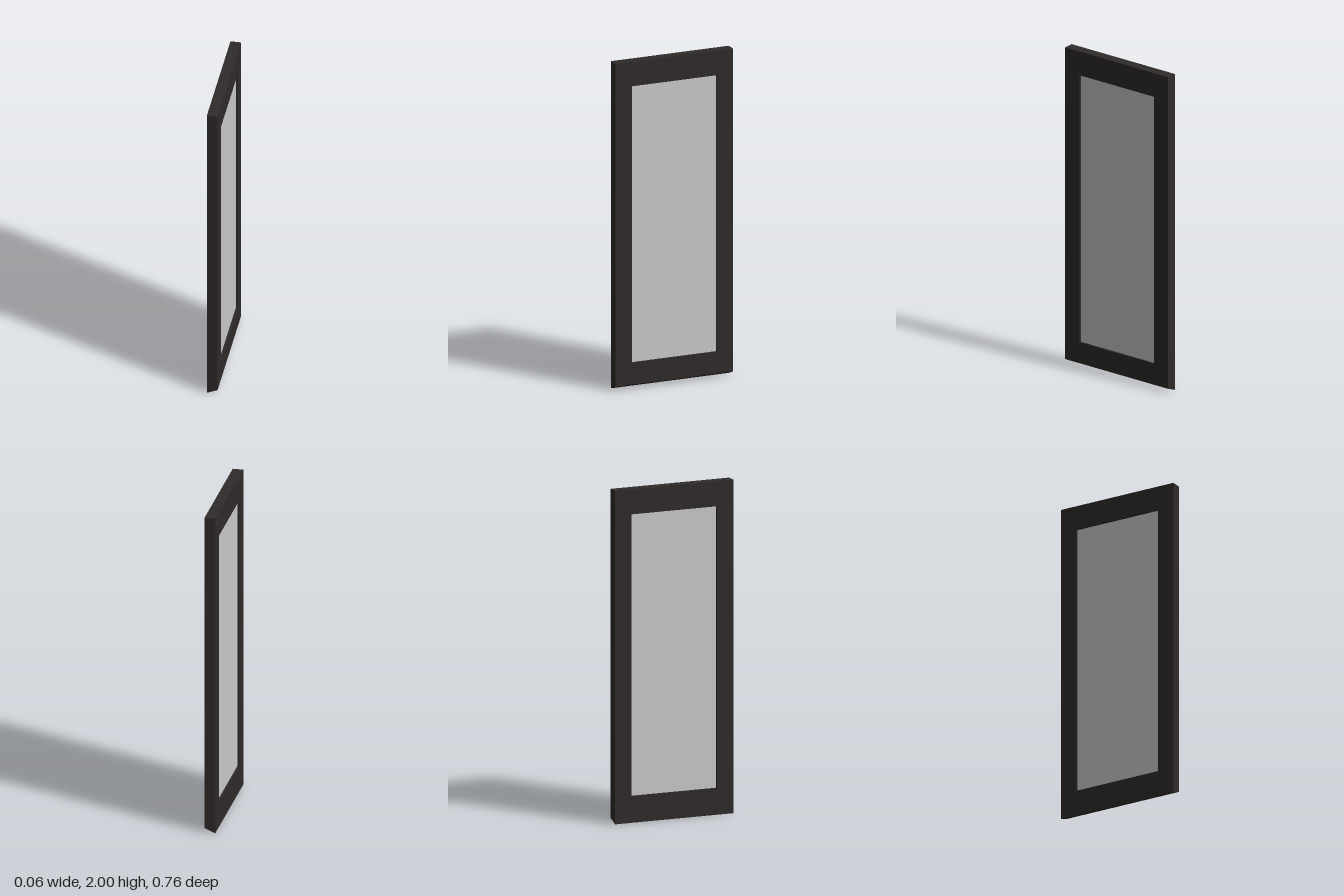
import * as THREE from 'three';

const HEIGHT = 2, HALF_WIDTH = 0.38, THICKNESS = 0.064;
const OPENING = { halfWidth: 0.274, bottom: 0.16, top: 1.85 };
const BEVEL = 0.027; // rise of the sloping underside
const PANE_THICKNESS = 0.04;

// Adds a rectangle's outline to a shape or path
function rectangle(path, halfWidth, bottom, top) {
  path.moveTo(-halfWidth, bottom);
  path.lineTo(halfWidth, bottom);
  path.lineTo(halfWidth, top);
  path.lineTo(-halfWidth, top);
  path.closePath();
  return path;
}

export function createModel() {
  const model = new THREE.Group();
  model.name = 'framedPanel';

  // Frame: a rectangle with an opening, extruded across x
  const outline = rectangle(new THREE.Shape(), HALF_WIDTH, 0, HEIGHT);
  outline.holes.push(rectangle(new THREE.Path(), OPENING.halfWidth, OPENING.bottom, OPENING.top));
  const frameGeometry = new THREE.ExtrudeGeometry(outline, { depth: THICKNESS, bevelEnabled: false });
  frameGeometry.translate(0, 0, -THICKNESS / 2);
  frameGeometry.rotateY(Math.PI / 2);

  // Sloping underside: lift the bottom edge on the +x side
  const position = frameGeometry.attributes.position;
  for (let i = 0; i < position.count; i++) {
    if (position.getY(i) < 0.001 && position.getX(i) > 0) position.setY(i, BEVEL);
  }
  frameGeometry.computeVertexNormals();

  const frame = new THREE.Mesh(frameGeometry, new THREE.MeshStandardMaterial({ color: 0x302b2a }));
  frame.name = 'frame';
  model.add(frame);

  // Pane, recessed on both sides
  const pane = new THREE.Mesh(
    new THREE.BoxGeometry(PANE_THICKNESS, OPENING.top - OPENING.bottom, OPENING.halfWidth * 2),
    new THREE.MeshStandardMaterial({ color: 0xcccccc })
  );
  pane.name = 'pane';
  pane.position.y = (OPENING.top + OPENING.bottom) / 2;
  model.add(pane);

  return model;
}
